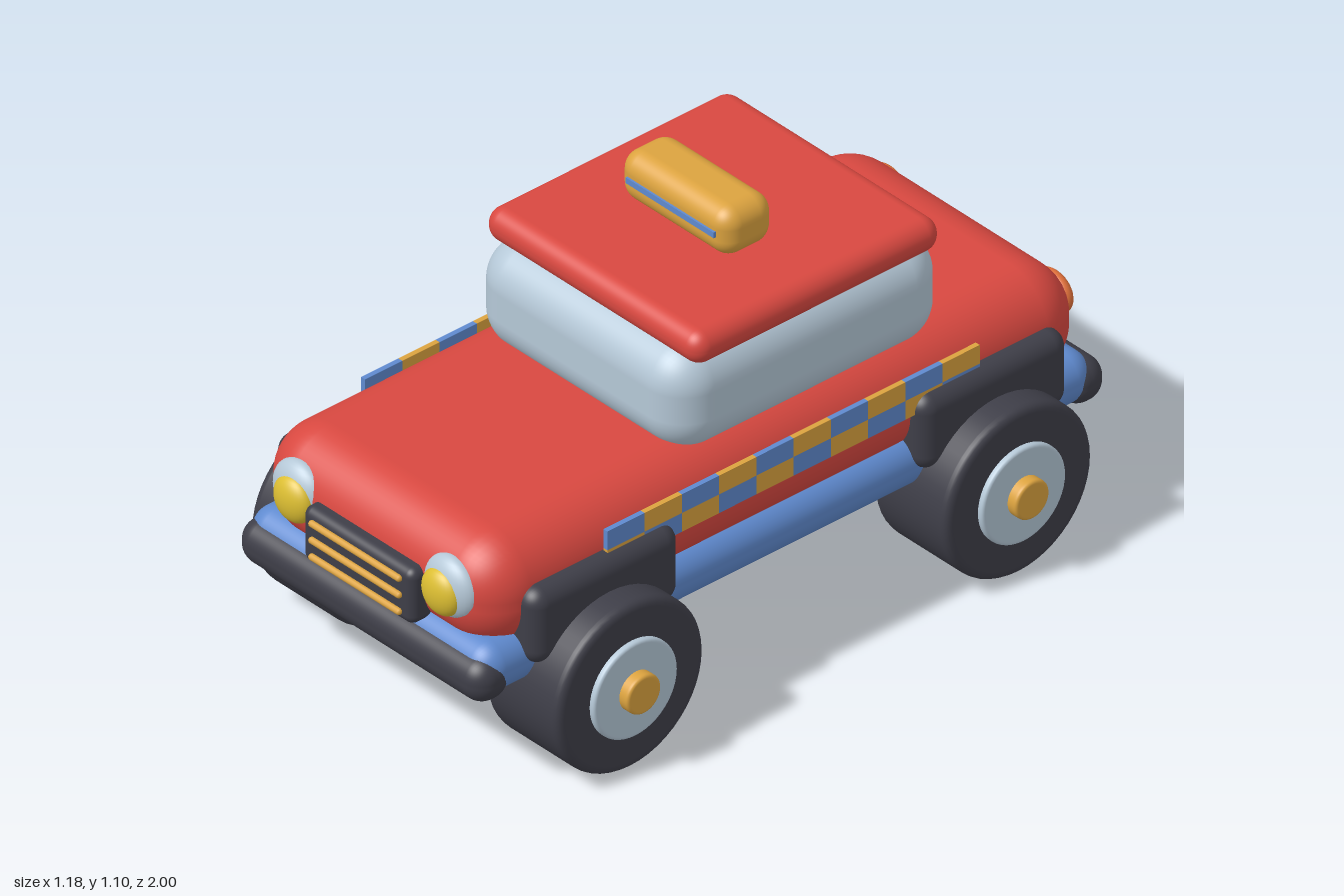
import * as THREE from 'three';
import { RoundedBoxGeometry } from 'three/addons/geometries/RoundedBoxGeometry.js';

const paint = (name, color) => {
  const m = new THREE.MeshStandardMaterial({ color });
  m.name = name;
  return m;
};

export function createModel() {
  const red = paint('red', 0xd84840);
  const blue = paint('blue', 0x5f8acf);
  const silver = paint('silver', 0xb5c8d7);
  const dark = paint('charcoal', 0x3e3e48);
  const gold = paint('gold', 0xdca33f);
  const yellow = paint('yellow', 0xdcbe32);
  const orange = paint('orange', 0xe0703a);

  const car = new THREE.Group();
  car.name = 'toyCar';

  const add = (name, geometry, material, x = 0, y = 0, z = 0) => {
    const mesh = new THREE.Mesh(geometry, material);
    mesh.name = name;
    mesh.position.set(x, y, z);
    car.add(mesh);
    return mesh;
  };

  // Rounded box given by its min and max on each axis
  const block = (name, material, [x0, x1], [y0, y1], [z0, z1], radius) =>
    add(name, new RoundedBoxGeometry(x1 - x0, y1 - y0, z1 - z0, 6, radius), material,
      (x0 + x1) / 2, (y0 + y1) / 2, (z0 + z1) / 2);

  // Disc along x with bevelled rims
  const disc = (radius, width, bevel) => {
    const h = width / 2;
    const pts = [[0, -h], [radius - bevel - 0.003, -h]];
    for (let i = 0; i <= 4; i++) {
      const a = (i / 4) * Math.PI / 2;
      pts.push([radius - bevel + bevel * Math.sin(a), -h + bevel - bevel * Math.cos(a)]);
    }
    const upper = pts.slice().reverse().map(([r, y]) => [r, -y]);
    const profile = [...pts, [radius, -h + bevel + 0.003], [radius, h - bevel - 0.003], ...upper]
      .map(([r, y]) => new THREE.Vector2(r, y));
    return new THREE.LatheGeometry(profile, 48).rotateZ(-Math.PI / 2);
  };

  // Squashed sphere
  const lens = (rx, ry, rz) => new THREE.SphereGeometry(1, 32, 20).scale(rx, ry, rz);

  // Body, sill, cabin and roof
  block('body', red, [-0.42, 0.42], [0.35, 0.655], [-0.955, 0.95], 0.14);
  block('lowerBody', blue, [-0.432, 0.432], [0.275, 0.415], [-0.965, 0.965], 0.065);
  block('cabinGlass', silver, [-0.375, 0.375], [0.61, 0.905], [-0.55, 0.305], 0.11);
  block('roof', red, [-0.38, 0.38], [0.875, 0.966], [-0.522, 0.255], 0.044);

  // Roof sign with a thin line on both faces
  block('roofSign', gold, [-0.195, 0.195], [0.97, 1.105], [-0.163, -0.003], 0.05);
  for (const z of [-0.164, -0.002])
    add('roofSignLine', new THREE.BoxGeometry(0.31, 0.016, 0.009), blue, 0, 1.04, z);

  // Bumpers
  block('frontBumper', dark, [-0.435, 0.435], [0.267, 0.387], [0.87, 0.988], 0.055);
  block('rearBumper', dark, [-0.435, 0.435], [0.267, 0.387], [-0.998, -0.88], 0.055);

  // Grille and its bars
  block('grille', dark, [-0.195, 0.195], [0.39, 0.545], [0.91, 0.986], 0.025);
  for (const y of [0.421, 0.468, 0.515])
    add('grilleBar', new THREE.CapsuleGeometry(0.009, 0.305, 4, 12).rotateZ(Math.PI / 2),
      gold, 0, y, 0.99);

  const wheelGeometry = disc(0.231, 0.262, 0.02);
  const hubGeometry = disc(0.132, 0.06, 0.008);
  const capGeometry = disc(0.053, 0.06, 0.008);
  const columns = 10;
  const cell = 1.17 / columns;
  const tile = new THREE.BoxGeometry(0.014, 0.053, cell);

  for (const side of [-1, 1]) {
    // Lamps
    add('headlightRim', lens(0.086, 0.083, 0.045), silver, side * 0.266, 0.522, 0.923);
    add('headlight', lens(0.062, 0.062, 0.035), yellow, side * 0.26, 0.514, 0.95);
    add('tailLight', lens(0.068, 0.058, 0.03), orange, side * 0.292, 0.53, -0.938);

    // Wheels under their fenders
    for (const z of [0.608, -0.612]) {
      const spanX = side > 0 ? [0.33, 0.466] : [-0.466, -0.33];
      block('fender', dark, spanX, [0.335, 0.546], [z - 0.233, z + 0.233], 0.045);
      add('tyre', wheelGeometry, dark, side * 0.413, 0.232, z);
      add('hubcap', hubGeometry, silver, side * 0.53, 0.232, z);
      add('wheelCap', capGeometry, gold, side * 0.56, 0.232, z);
    }

    // Chequered band
    for (let row = 0; row < 2; row++)
      for (let i = 0; i < columns; i++)
        add('chequer', tile, (row + i) % 2 ? gold : blue,
          side * 0.426, 0.579 - row * 0.053, 0.585 - (i + 0.5) * cell);
  }
  return car;
}
